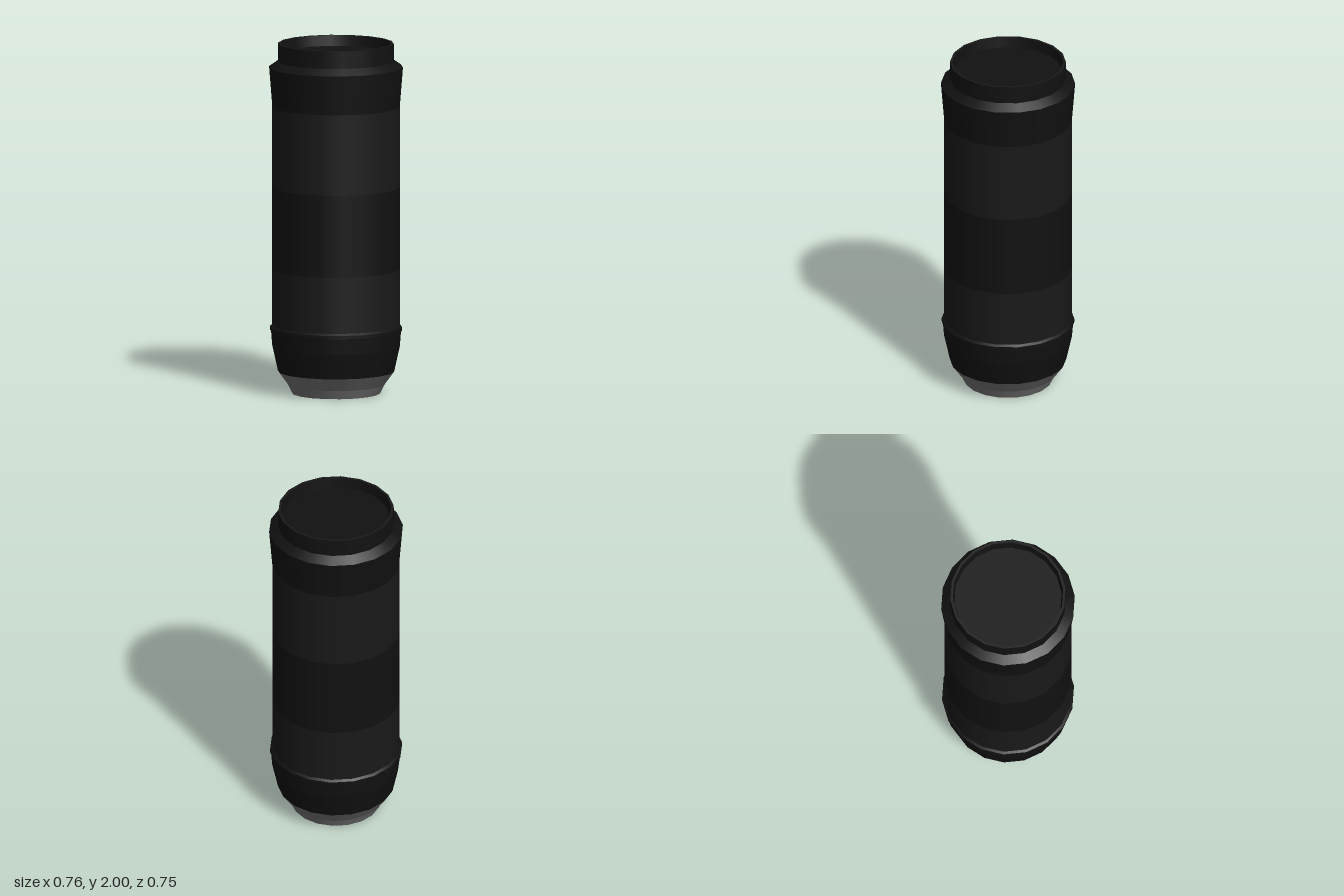
import * as THREE from 'three';
import { mergeGeometries } from 'three/addons/utils/BufferGeometryUtils.js';

const SIDES = 18;
const mat = (color) => new THREE.MeshStandardMaterial({ color });

// Turned part: smooth around the axis, a sharp edge at every profile point
function turned(name, profile, material) {
  const rings = [];
  for (let i = 0; i < profile.length - 1; i++) {
    const pts = [profile[i], profile[i + 1]].map(([r, y]) => new THREE.Vector2(r, y));
    rings.push(new THREE.LatheGeometry(pts, SIDES, Math.PI / 2, Math.PI * 2));
  }
  const mesh = new THREE.Mesh(mergeGeometries(rings), material);
  mesh.name = name;
  return mesh;
}

export function createModel() {
  const group = new THREE.Group();
  group.name = 'canister';
  const black = mat(0x111111);
  const charcoal = mat(0x191919);
  const grey = mat(0x777777);

  group.add(
    // Recessed underside and grey tapered foot
    turned('baseRecess', [[0, 0.06], [0.19, 0.06]], black),
    turned('foot', [[0.19, 0.06], [0.2, 0], [0.25, 0], [0.275, 0.05], [0.33, 0.125]], grey),

    // Lower shell and its raised ring
    turned('lowerShell', [[0.33, 0.125], [0.362, 0.27], [0.369, 0.355]], black),
    turned('ring', [[0.369, 0.355], [0.375, 0.358], [0.375, 0.38], [0.362, 0.39]], black),

    // Straight body in three bands
    turned('lowerBand', [[0.362, 0.39], [0.362, 0.71]], charcoal),
    turned('middleBand', [[0.362, 0.71], [0.362, 1.18]], black),
    turned('upperBand', [[0.362, 1.18], [0.362, 1.64]], charcoal),

    // Flared collar and neck with a recessed top
    turned('collar', [[0.362, 1.64], [0.38, 1.865], [0.33, 1.9]], black),
    turned('neck', [[0.33, 1.9], [0.328, 2]], black),
    turned('rim', [[0.328, 2], [0.314, 2]], charcoal),
    turned('lid', [[0.314, 2], [0.305, 1.94], [0, 1.94]], black),
  );
  return group;
}
